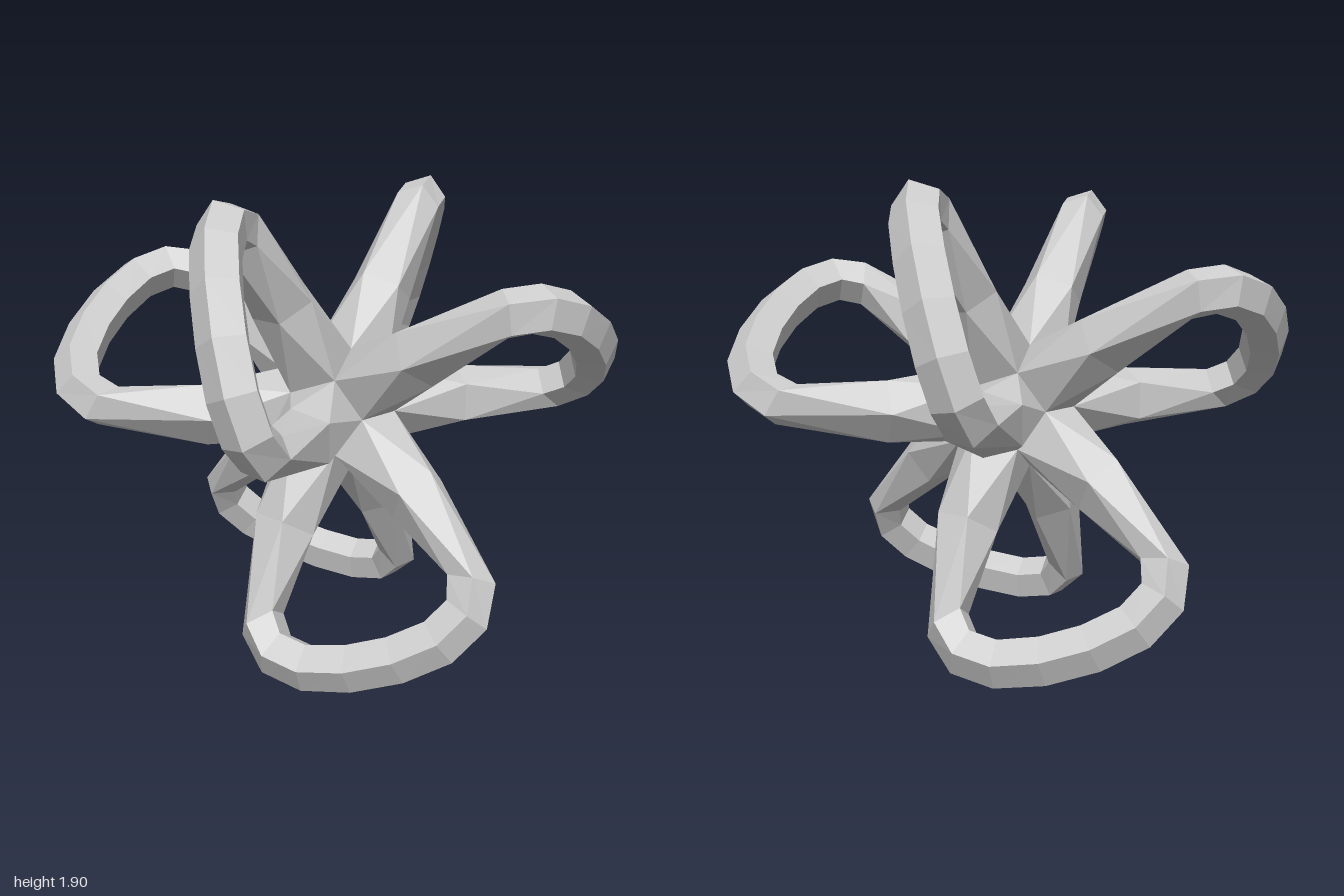
import * as THREE from 'three';

const SIDES = 5;
const STEP = (Math.PI * 2) / SIDES;

// Half of one handle: cross-sections in its own plane, from the core to the crown.
// x, y: centre; nx, ny: outward normal; r: radius; twist: half-step rotation
function halfSections() {
  const ax = 0.5257, ay = 0.8507; // axis of the arm
  const arm = (d, r, twist) => ({ x: ax * d, y: ay * d, nx: ay, ny: -ax, r, twist });
  const bend = (x, y, deg, r = 0.098) => {
    const a = THREE.MathUtils.degToRad(deg);
    return { x, y, nx: Math.sin(a), ny: Math.cos(a), r, twist: 0 };
  };
  return [
    arm(0.213, 0.163, 0),
    arm(0.54, 0.132, 0.5),
    bend(0.44, 0.835, 70),
    bend(0.4, 0.96, 43),
    bend(0.275, 1.04, 22),
    bend(0.095, 1.075, 8),
  ];
}

// Five-sided tube running out along one arm, around the bend and back along the other
function handleGeometry() {
  const right = halfSections();
  const left = right.map((s) => ({ ...s, x: -s.x, nx: -s.nx }));
  const rings = [...left, ...right.reverse()];
  const pos = [];
  const index = [];
  for (const s of rings) {
    for (let i = 0; i < SIDES; i++) {
      const a = (i + s.twist) * STEP;
      const u = Math.cos(a) * s.r;
      pos.push(s.x + s.nx * u, s.y + s.ny * u, Math.sin(a) * s.r);
    }
  }
  for (let k = 0; k < rings.length - 1; k++) {
    for (let i = 0; i < SIDES; i++) {
      const j = (i + 1) % SIDES;
      const a = k * SIDES + i, b = k * SIDES + j;
      const c = a + SIDES, d = b + SIDES;
      if (rings[k].twist) index.push(a, d, c, a, b, d);
      else index.push(a, b, c, b, d, c);
    }
  }
  const g = new THREE.BufferGeometry();
  g.setAttribute('position', new THREE.Float32BufferAttribute(pos, 3));
  g.setIndex(index);
  const flat = g.toNonIndexed();
  flat.computeVertexNormals();
  return flat;
}

export function createModel() {
  const group = new THREE.Group();
  group.name = 'handleStar';
  const material = new THREE.MeshStandardMaterial({ color: 0xcccccc, flatShading: true });
  const geometry = handleGeometry();

  // Each handle joins two neighbouring corner directions of an icosahedron
  const p = (1 + Math.sqrt(5)) / 2;
  const pairs = [
    ['upperHandle', [0, p, 1], [1, 0, p]],
    ['sideHandle', [-p, 1, 0], [-1, 0, p]],
    ['lowerHandle', [p, -1, 0], [0, -p, 1]],
  ];
  for (const [name, e1, e2] of pairs) {
    // front handle and its half-turn copy about the vertical axis
    for (const s of [1, -1]) {
      const a = new THREE.Vector3(e1[0] * s, e1[1], e1[2] * s);
      const b = new THREE.Vector3(e2[0] * s, e2[1], e2[2] * s);
      const across = b.clone().sub(a).normalize();
      const out = b.clone().add(a).normalize();
      const normal = across.clone().cross(out);
      const mesh = new THREE.Mesh(geometry, material);
      mesh.name = name + (s > 0 ? 'Front' : 'Back');
      mesh.quaternion.setFromRotationMatrix(new THREE.Matrix4().makeBasis(across, out, normal));
      mesh.position.y = 1;
      group.add(mesh);
    }
  }
  return group;
}
